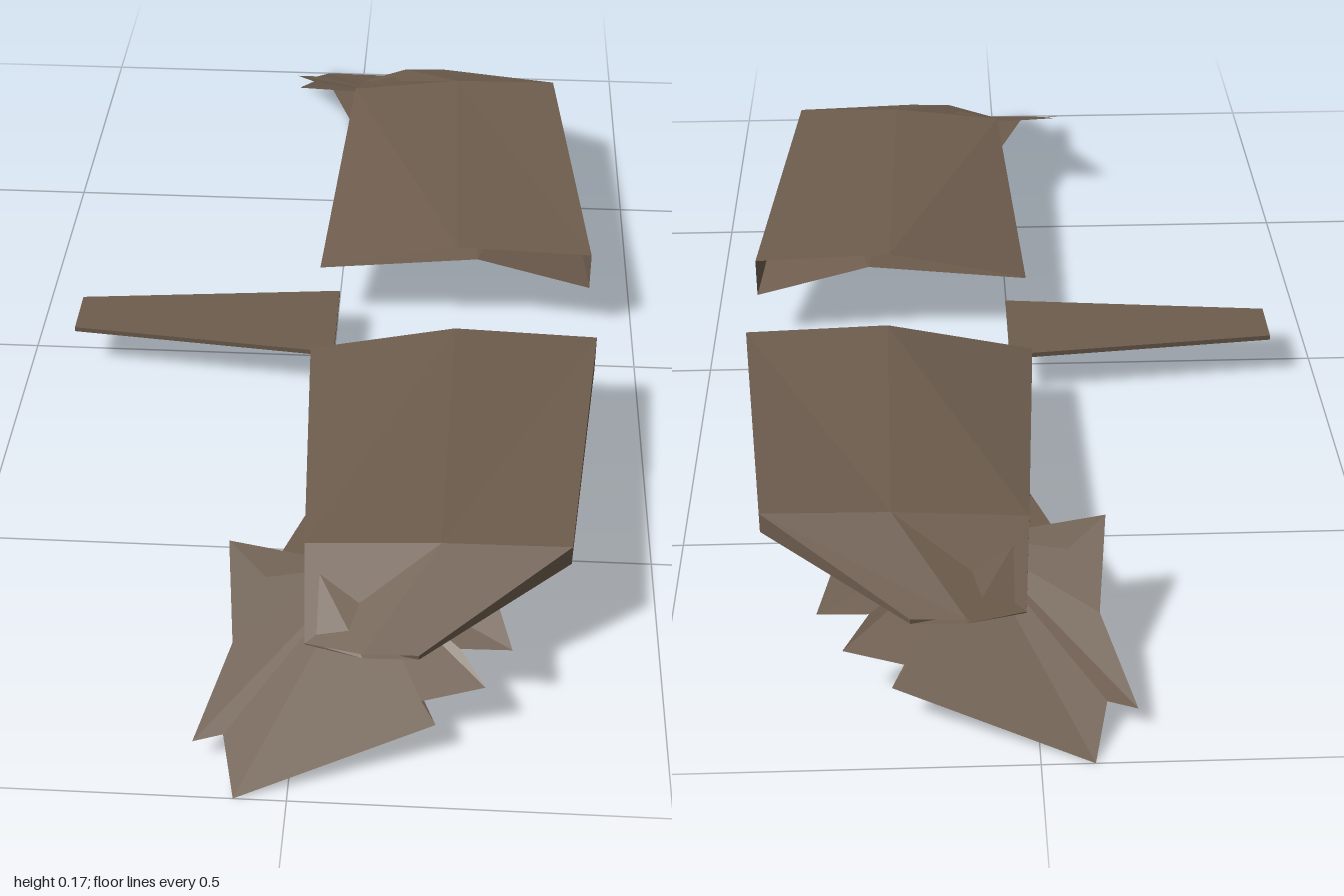
import * as THREE from 'three';

const brown = new THREE.MeshStandardMaterial({ color: 0x6e5d4e, side: THREE.DoubleSide });
brown.name = 'featherBrown';

// Flat-faceted mesh from points and triangles; side = -1 mirrors it across z
function facetMesh(name, points, triangles, side) {
  const pos = [];
  for (const [a, b, c] of triangles) {
    for (const i of side > 0 ? [a, b, c] : [a, c, b]) {
      const [x, y, z] = points[i];
      pos.push(x, y, z * side);
    }
  }
  const geo = new THREE.BufferGeometry();
  geo.setAttribute('position', new THREE.Float32BufferAttribute(pos, 3));
  geo.computeVertexNormals();
  const mesh = new THREE.Mesh(geo, brown);
  mesh.name = name;
  return mesh;
}

// Wing cross-sections, root to tip: top trailing, mid, leading, then bottom leading, mid, trailing
const sections = [
  [[-0.03, 0.1, 0.12], [0.2, 0.148, 0.12], [0.425, 0.14, 0.12],
    [0.425, 0.075, 0.12], [0.235, 0.125, 0.12], [-0.03, 0.098, 0.12]],
  [[0, 0.15, 0.66], [0.19, 0.168, 0.67], [0.37, 0.17, 0.67],
    [0.37, 0.14, 0.67], [0.19, 0.15, 0.67], [0, 0.147, 0.66]],
  [[0.01, 0.092, 0.8], [0.09, 0.104, 0.83], [0.165, 0.106, 0.83],
    [0.165, 0.099, 0.83], [0.09, 0.097, 0.83], [0.01, 0.09, 0.8]],
];

function wingPanel(side) {
  const n = 6, tris = [];
  for (let s = 0; s < sections.length - 1; s++) {
    for (let i = 0; i < n; i++) {
      const a = s * n + i, b = s * n + (i + 1) % n;
      tris.push([a, a + n, b], [b, a + n, b + n]);
    }
  }
  // closed tip, hollow root
  const t = (sections.length - 1) * n;
  for (let i = 1; i < n - 1; i++) tris.push([t, t + i + 1, t + i]);
  return facetMesh('wingPanel', sections.flat(), tris, side);
}

// Jagged sheet of tip feathers, folded down outboard of the wing
const featherOutline = [
  [0.155, 0.27], [0, 0.56], [-0.05, 0.71], [-0.105, 0.66], [-0.088, 0.8],
  [-0.13, 0.93], [-0.09, 0.92], [-0.07, 1], [0.19, 0.9], [0.17, 0.87],
  [0.255, 0.85], [0.22, 0.8], [0.29, 0.8], [0.27, 0.74], [0.24, 0.68],
];

function tipFeathers(side) {
  const height = (x, z) => {
    const slope = 0.44 * (1 - z) + 0.02 * (x + 0.07);
    return x < -0.06 ? slope : Math.min(0.13, slope);
  };
  const points = [[0.08, 0.68], ...featherOutline].map(([x, z]) => [x, height(x, z), z]);
  const n = featherOutline.length, tris = [];
  for (let i = 0; i < n; i++) tris.push([0, i + 1, (i + 1) % n + 1]);
  return facetMesh('tipFeathers', points, tris, side);
}

// Thin tail plate, narrowing toward its end
function tailPlate() {
  const geo = new THREE.BoxGeometry(0.43, 0.008, 0.18).translate(-0.21, 0.068, 0);
  const p = geo.attributes.position;
  for (let i = 0; i < p.count; i++) if (p.getX(i) < -0.2) p.setZ(i, p.getZ(i) * 0.5);
  geo.computeVertexNormals();
  const mesh = new THREE.Mesh(geo, brown);
  mesh.name = 'tail';
  return mesh;
}

export function createModel() {
  const model = new THREE.Group();
  model.name = 'wingsAndTail';
  for (const side of [1, -1]) {
    const wing = new THREE.Group();
    wing.name = side > 0 ? 'frontWing' : 'backWing';
    wing.add(wingPanel(side), tipFeathers(side));
    model.add(wing);
  }
  model.add(tailPlate());
  return model;
}
